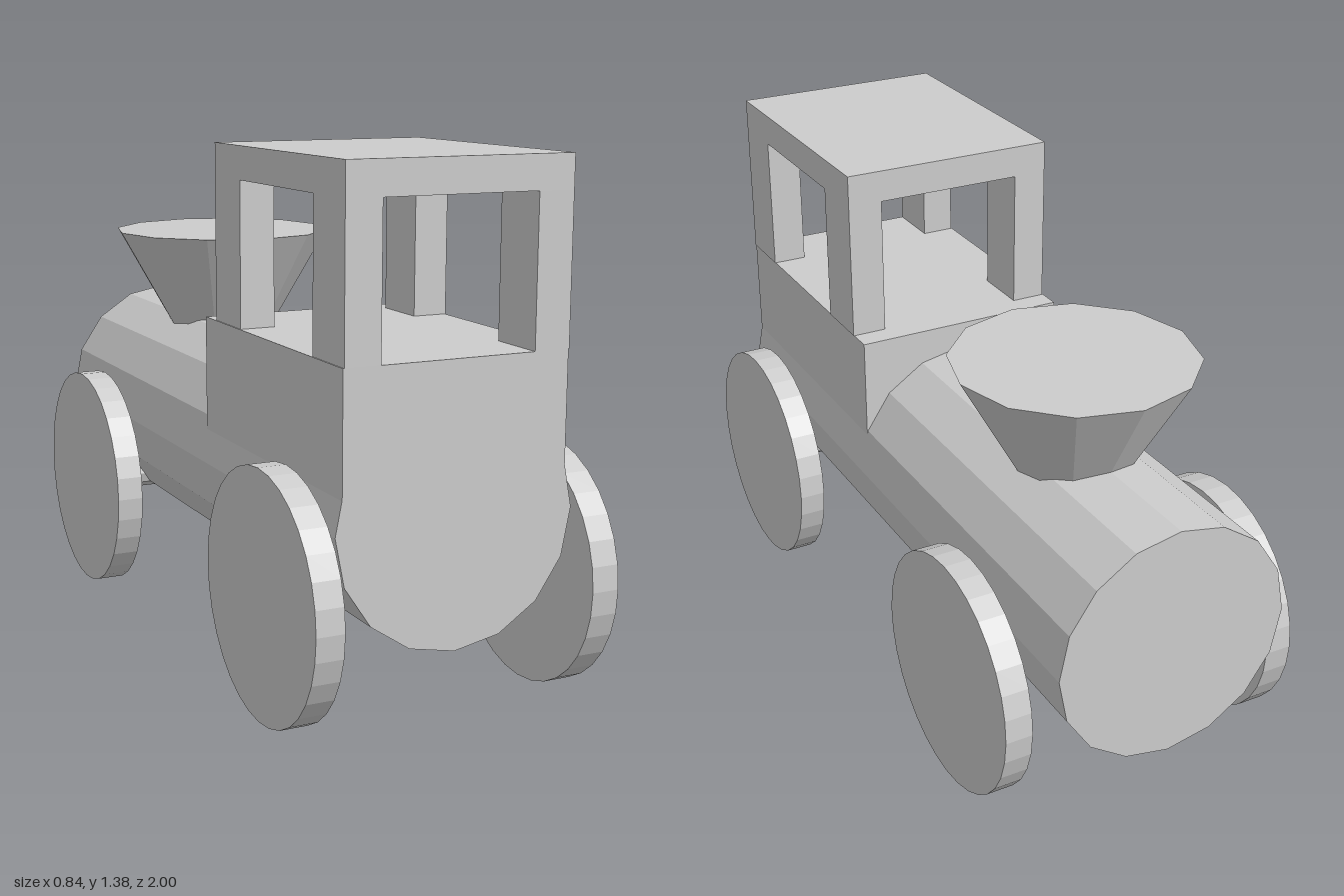
import * as THREE from 'three';

export function createModel() {
  const group = new THREE.Group();
  const grey = new THREE.MeshStandardMaterial({ color: 0xcccccc, flatShading: true });
  grey.name = 'plain grey';

  const add = (name, geometry, x, y, z) => {
    const mesh = new THREE.Mesh(geometry, grey);
    mesh.name = name;
    mesh.position.set(x, y, z);
    group.add(mesh);
    return mesh;
  };
  // Box given by its extents on each axis
  const box = (name, x0, x1, y0, y1, z0, z1) =>
    add(name, new THREE.BoxGeometry(x1 - x0, y1 - y0, z1 - z0),
      (x0 + x1) / 2, (y0 + y1) / 2, (z0 + z1) / 2);

  // Boiler: long sixteen-sided barrel
  add('boiler', new THREE.CylinderGeometry(0.32, 0.32, 1.92, 16).rotateX(Math.PI / 2), 0, 0.52, -0.04);

  // Funnel: flared twelve-sided cone sunk into the boiler
  add('funnel', new THREE.CylinderGeometry(0.32, 0.135, 0.325, 12), 0, 0.9125, -0.506);

  // Cab: base, four corner posts and flat roof
  box('cabBase', -0.303, 0.298, 0.55, 0.912, 0.11, 0.921);
  for (const [x0, x1] of [[-0.3, -0.206], [0.204, 0.3]]) {
    for (const [z0, z1] of [[0.175, 0.337], [0.758, 0.921]]) {
      box('cabPost', x0, x1, 0.912, 1.29, z0, z1);
    }
  }
  box('cabRoof', -0.3, 0.3, 1.29, 1.376, 0.175, 0.921);

  // Wheels and axles; the pairs sit slightly off centre
  const wheel = new THREE.CylinderGeometry(0.32, 0.32, 0.074, 32).rotateZ(Math.PI / 2);
  const axle = new THREE.CylinderGeometry(0.05, 0.05, 0.74, 10).rotateZ(Math.PI / 2);
  for (const [end, z, left, right] of [['front', 0.68, 0.375, -0.369], ['rear', -0.603, 0.38, -0.387]]) {
    add(end + 'LeftWheel', wheel, left, 0.32, z);
    add(end + 'RightWheel', wheel, right, 0.32, z);
    add(end + 'Axle', axle, 0, 0.32, end === 'front' ? 0.69 : z);
  }
  return group;
}
